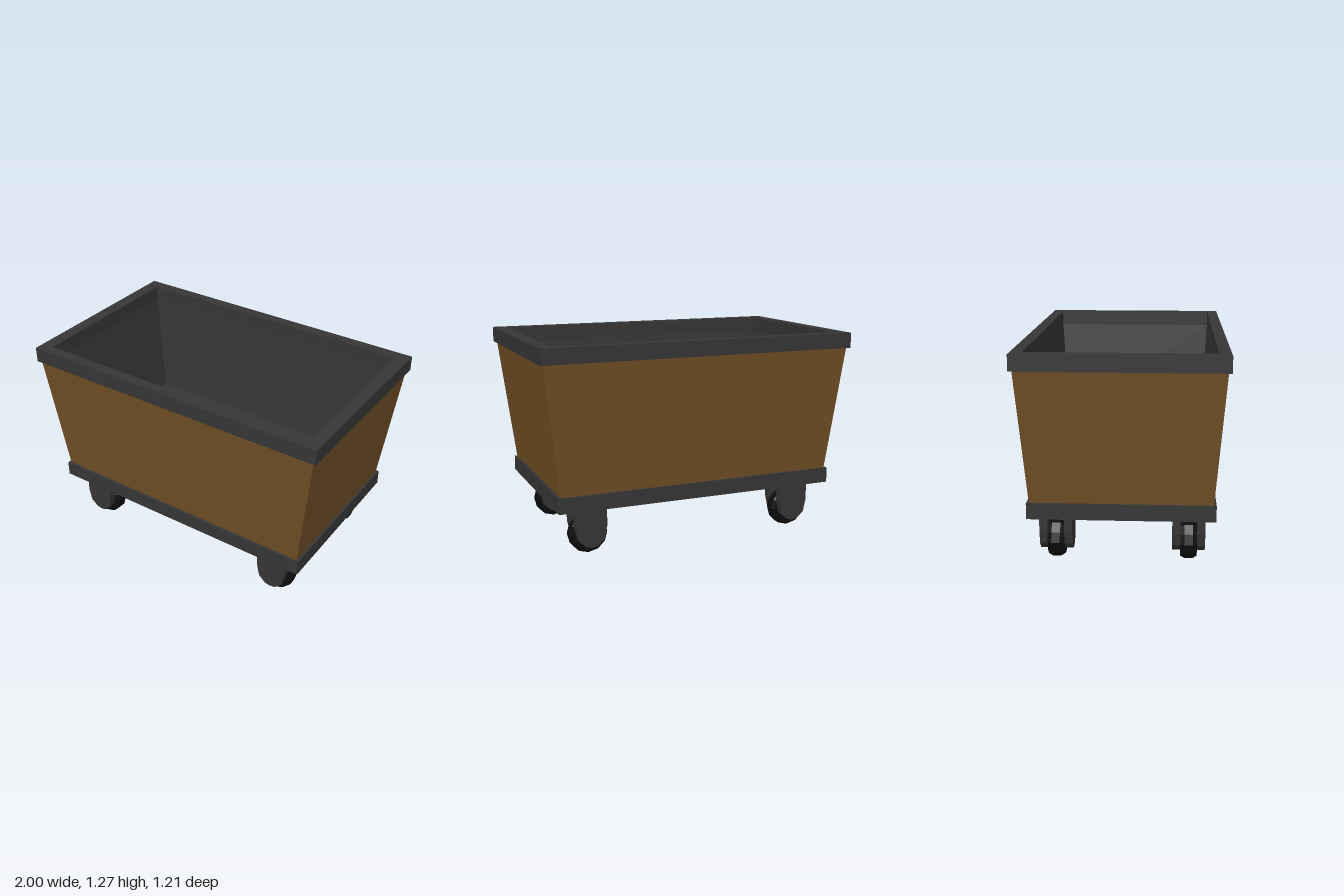
import * as THREE from 'three';

const paint = (color) => new THREE.MeshStandardMaterial({ color, flatShading: true });

// Skin of rectangular rings [halfX, halfZ, y], one flat quad per side and step
function loft(rings) {
  const corners = [[1, 1], [1, -1], [-1, -1], [-1, 1]];
  const pos = [];
  const point = ([hx, hz, y], i) => [corners[i % 4][0] * hx, y, corners[i % 4][1] * hz];
  for (let r = 0; r < rings.length - 1; r++) {
    for (let i = 0; i < 4; i++) {
      const a = point(rings[r], i), b = point(rings[r], i + 1);
      const c = point(rings[r + 1], i + 1), d = point(rings[r + 1], i);
      pos.push(...a, ...b, ...c, ...a, ...c, ...d);
    }
  }
  const geo = new THREE.BufferGeometry();
  geo.setAttribute('position', new THREE.Float32BufferAttribute(pos, 3));
  geo.computeVertexNormals();
  return geo;
}

export function createModel() {
  const model = new THREE.Group();
  model.name = 'rollingBin';
  const dark = paint(0x363636);
  const brown = paint(0x704f25);
  const rubber = paint(0x0d0d0d);

  const add = (parent, name, geo, mat, x = 0, y = 0, z = 0) => {
    const mesh = new THREE.Mesh(geo, mat);
    mesh.name = name;
    mesh.position.set(x, y, z);
    parent.add(mesh);
    return mesh;
  };

  // Base slab
  add(model, 'base', new THREE.BoxGeometry(1.8, 0.095, 1.09), dark, 0, 0.3475, 0);

  // Tapered outer walls
  add(model, 'outerWalls', loft([[0.885, 0.53, 0.395], [0.98, 0.588, 1.18]]), brown);

  // Rim: closed rectangular band
  add(model, 'rim', loft([
    [0.92, 0.537, 1.18], [1, 0.606, 1.18], [1, 0.606, 1.275], [0.92, 0.537, 1.275], [0.92, 0.537, 1.18],
  ]), dark);

  // Tapered lining and floor
  add(model, 'lining', loft([[0.92, 0.537, 1.18], [0.847, 0.497, 0.52], [0, 0, 0.52]]), dark);

  // Fork plate: straight sides with a faceted round end
  const plateShape = new THREE.Shape([
    [-0.097, 0.3], [-0.097, 0.18], [-0.08, 0.1], [-0.035, 0.058], [0, 0.052],
    [0.035, 0.058], [0.08, 0.1], [0.097, 0.18], [0.097, 0.3],
  ].map(([x, y]) => new THREE.Vector2(x, y)));
  const plateGeo = new THREE.ExtrudeGeometry(plateShape, { depth: 0.048, bevelEnabled: false });

  // Twelve-sided wheel with chamfered tread
  const wheelGeo = new THREE.LatheGeometry([
    [0, -0.049], [0.085, -0.049], [0.106, -0.049], [0.12, -0.025],
    [0.12, 0.025], [0.106, 0.049], [0.085, 0.049], [0, 0.049],
  ].map(([r, y]) => new THREE.Vector2(r, y)), 12);
  wheelGeo.rotateX(Math.PI / 2);

  // Casters, one under each corner
  for (const sx of [-1, 1]) {
    for (const sz of [-1, 1]) {
      const caster = new THREE.Group();
      caster.name = (sz > 0 ? 'front' : 'back') + (sx > 0 ? 'Left' : 'Right') + 'Caster';
      caster.position.set(sx * 0.686, 0, sz * 0.392);
      add(caster, 'outerForkPlate', plateGeo, dark, 0, 0, sz > 0 ? 0.049 : -0.097);
      add(caster, 'innerForkPlate', plateGeo, dark, 0, 0, sz > 0 ? -0.097 : 0.049);
      add(caster, 'wheel', wheelGeo, rubber, 0, 0.12, 0);
      model.add(caster);
    }
  }
  return model;
}
